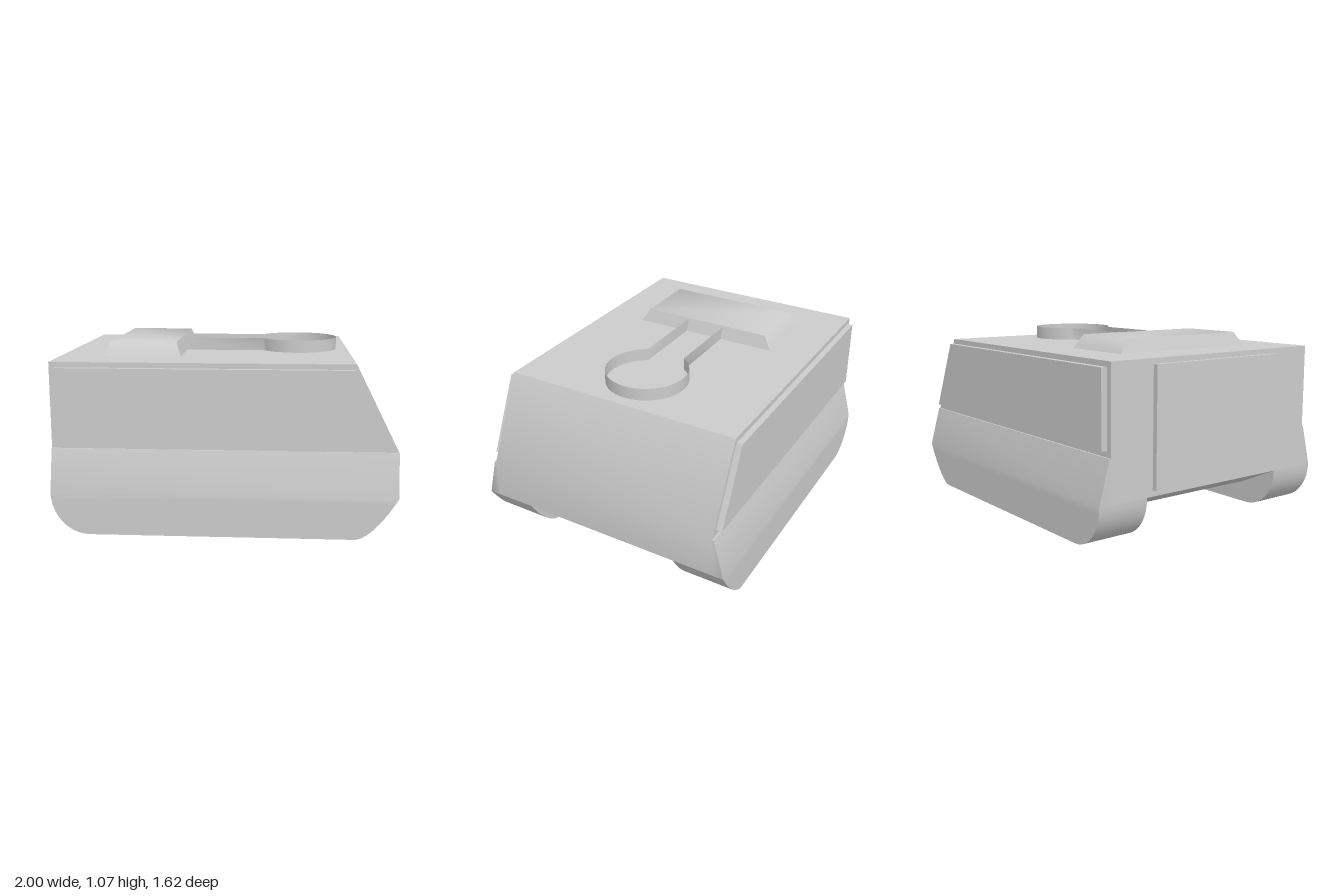
import * as THREE from 'three';
import { toCreasedNormals } from 'three/addons/utils/BufferGeometryUtils.js';

const grey = new THREE.MeshStandardMaterial({ color: 0xcccccc });
const greyThin = new THREE.MeshStandardMaterial({ color: 0xcccccc, side: THREE.DoubleSide });

// Quad strip between two polylines a and b, appended to out
function strip(out, a, b) {
  for (let i = 0; i < a.length - 1; i++) {
    out.push(...a[i], ...b[i], ...a[i + 1], ...b[i], ...b[i + 1], ...a[i + 1]);
  }
}

// Stacked rectangles, top to bottom: rows of [y, x0, x1, z0, z1]
function block(out, rows) {
  const corner = [
    ([y, x0, x1, z0]) => [x1, y, z0],
    ([y, x0, x1, z0, z1]) => [x1, y, z1],
    ([y, x0, x1, z0, z1]) => [x0, y, z1],
    ([y, x0, x1, z0]) => [x0, y, z0],
  ].map((f) => rows.map(f));
  for (let i = 0; i < 4; i++) strip(out, corner[i], corner[(i + 1) % 4]);
  const end = rows.length - 1;
  const [c0, c1, c2, c3] = corner;
  strip(out, [c0[0], c1[0]], [c3[0], c2[0]]);
  strip(out, [c3[end], c2[end]], [c0[end], c1[end]]);
}

function creased(positions) {
  const g = new THREE.BufferGeometry();
  g.setAttribute('position', new THREE.Float32BufferAttribute(positions, 3));
  return toCreasedNormals(g, THREE.MathUtils.degToRad(60));
}

export function createModel() {
  const model = new THREE.Group();
  model.name = 'vehicleBody';
  const add = (name, geometry, material = grey) => {
    const mesh = new THREE.Mesh(geometry, material);
    mesh.name = name;
    model.add(mesh);
    return mesh;
  };

  // Hull: sloped-front core, raised belly, flared sides and rounded skirts
  const hull = [];
  block(hull, [
    [0.985, -0.97, 0.75, -0.735, 0.735],
    [0.49, -0.97, 1, -0.735, 0.735],
    [0.245, -0.97, 1, -0.735, 0.735],
  ]);
  block(hull, [
    [0.245, -0.97, 1, -0.495, 0.495],
    [0.13, -0.72, 0.76, -0.495, 0.495],
  ]);
  for (const s of [1, -1]) {
    const span = (inner, outer) => (s > 0 ? [inner, outer] : [-outer, -inner]);
    block(hull, [
      [0.49, -0.97, 1, ...span(0.735, 0.745)],
      [0.245, -0.97, 1, ...span(0.735, 0.81)],
    ]);
    const skirt = [];
    const steps = 10;
    for (let i = 0; i <= steps; i++) {
      const a = (i / steps) * Math.PI / 2;
      const u = i === steps ? 0 : 1 - Math.sin(a);
      const back = i === steps ? 0 : Math.cos(a);
      skirt.push([0.245 * u, -0.75 - 0.22 * back, 0.76 + 0.24 * Math.pow(u, 0.6), ...span(0.495, 0.81)]);
    }
    block(hull, skirt);
  }
  add('hull', creased(hull));

  // Side panels following the sloped front
  const outline = new THREE.Shape(
    [[-0.935, 0.525], [0.95, 0.525], [0.74, 0.955], [-0.935, 0.955]].map((p) => new THREE.Vector2(...p)),
  );
  const panel = new THREE.ExtrudeGeometry(outline, { depth: 0.035, bevelEnabled: false });
  add('leftSidePanel', panel).position.z = 0.735;
  add('rightSidePanel', panel).position.z = -0.77;

  // Flat door at the -x end
  add('endDoor', new THREE.BoxGeometry(0.03, 0.675, 0.915)).position.set(-0.985, 0.6175, 0);

  // Bevelled roof hatch
  const hatch = [];
  block(hatch, [
    [1.065, -0.68, -0.285, -0.417, 0.417],
    [0.985, -0.71, -0.255, -0.47, 0.47],
  ]);
  add('roofHatch', creased(hatch));

  // Thin keyhole-shaped rim on the roof: a ring opening into a neck
  const radius = 0.245, half = 0.125, gap = Math.asin(half / radius);
  const path = [[-0.28, half]];
  for (let i = 0; i <= 40; i++) {
    const a = Math.PI - gap - (i / 40) * (2 * Math.PI - 2 * gap);
    path.push([0.435 + radius * Math.cos(a), radius * Math.sin(a)]);
  }
  path.push([-0.28, -half]);
  const rim = [];
  strip(rim, path.map(([x, z]) => [x, 0.985, z]), path.map(([x, z]) => [x, 1.06, z]));
  add('roofRim', creased(rim), greyThin);

  return model;
}
